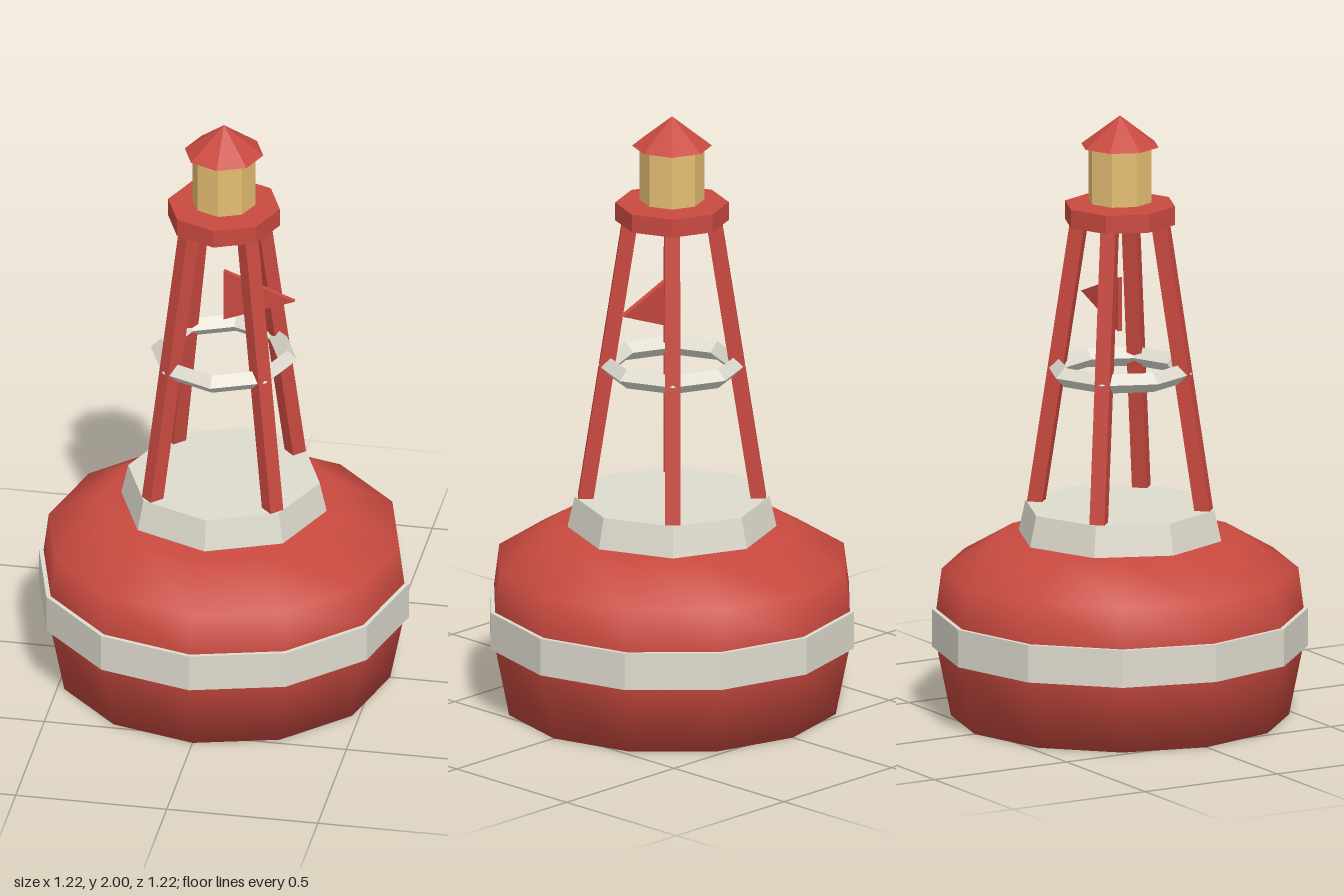
import * as THREE from 'three';

const paint = (color, flatShading = true) => new THREE.MeshStandardMaterial({ color, flatShading });

export function createModel() {
  const model = new THREE.Group();
  const red = paint(0xc94a40);
  const redSmooth = paint(0xc94a40, false);
  const cream = paint(0xdedace);
  const amber = paint(0xe5bd72);

  const add = (name, geometry, material, y = 0) => {
    const mesh = new THREE.Mesh(geometry, material);
    mesh.name = name;
    mesh.position.y = y;
    model.add(mesh);
    return mesh;
  };
  // Faceted drum standing between two heights
  const drum = (name, rTop, rBottom, y0, y1, sides, material) =>
    add(name, new THREE.CylinderGeometry(rTop, rBottom, y1 - y0, sides), material, (y0 + y1) / 2);

  // Smooth-shaded twelve-sided float
  const profile = [[0, 0], [0.55, 0], [0.598, 0.24], [0.598, 0.35], [0.58, 0.49], [0.4, 0.595], [0, 0.6]]
    .map(([x, y]) => new THREE.Vector2(x, y));
  add('float', new THREE.LatheGeometry(profile, 12), redSmooth);
  drum('floatBand', 0.612, 0.612, 0.23, 0.355, 12, cream);
  drum('deck', 0.317, 0.34, 0.598, 0.7, 8, cream);

  // Four leaning legs, square in section and turned to the diagonals
  const foot = new THREE.Vector2(0.283, 0.685);
  const head = new THREE.Vector2(0.134, 1.66);
  const lean = head.clone().sub(foot);
  for (let i = 0; i < 4; i++) {
    const pivot = new THREE.Group();
    pivot.name = 'legPivot' + (i + 1);
    pivot.rotation.y = Math.PI / 4 + i * Math.PI / 2;
    const leg = new THREE.Mesh(new THREE.BoxGeometry(0.05, lean.length(), 0.05), red);
    leg.name = 'leg';
    leg.position.set((foot.x + head.x) / 2, (foot.y + head.y) / 2, 0);
    leg.rotation.z = Math.atan2(-lean.x, lean.y);
    pivot.add(leg);
    model.add(pivot);
  }

  // Octagonal brace ring with a diamond section
  add('braceRing', new THREE.TorusGeometry(0.21, 0.032, 4, 8).rotateX(Math.PI / 2), cream, 1.15);

  // Thin pennant pointing to the left
  const pennant = new THREE.Shape([
    new THREE.Vector2(0, 1.28), new THREE.Vector2(0.235, 1.37), new THREE.Vector2(0, 1.46),
  ]);
  add('pennant', new THREE.ExtrudeGeometry(pennant, { depth: 0.016, bevelEnabled: false })
    .translate(0, 0, -0.008), red);

  // Lantern on its platform, under a pointed roof
  drum('lanternPlatform', 0.185, 0.185, 1.645, 1.706, 8, red);
  drum('lantern', 0.105, 0.105, 1.715, 1.9, 8, amber);
  add('roof', new THREE.ConeGeometry(0.13, 0.1, 8), red, 1.95);

  return model;
}
